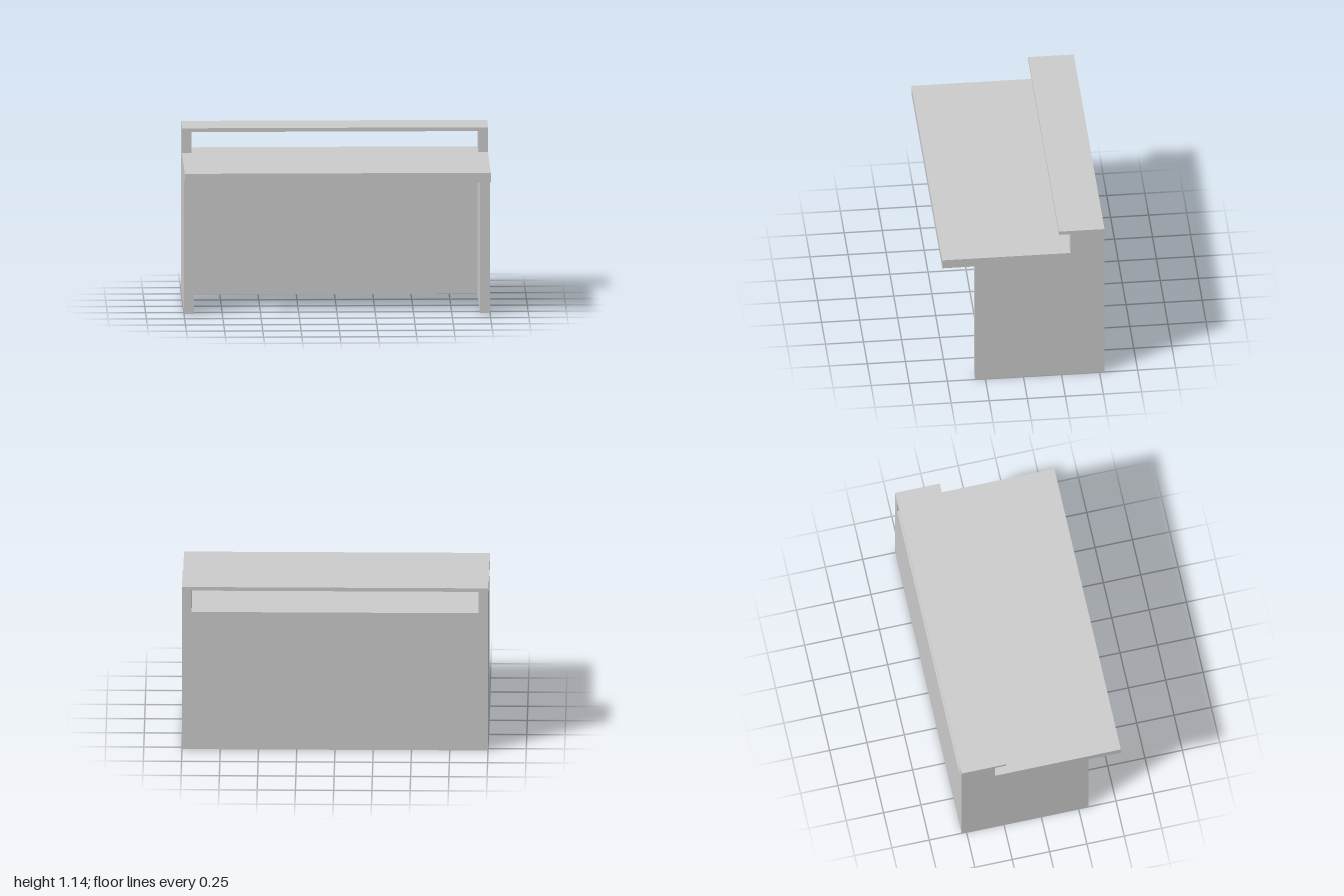
import * as THREE from 'three';

export function createModel() {
  const desk = new THREE.Group();
  desk.name = 'desk';
  const material = new THREE.MeshStandardMaterial({ color: 0xcccccc });

  // Box given by its lower and upper corners
  function board(name, [x0, y0, z0], [x1, y1, z1]) {
    const geometry = new THREE.BoxGeometry(x1 - x0, y1 - y0, z1 - z0);
    const mesh = new THREE.Mesh(geometry, material);
    mesh.position.set((x0 + x1) / 2, (y0 + y1) / 2, (z0 + z1) / 2);
    mesh.name = name;
    desk.add(mesh);
  }

  const back = -0.533, front = 0.533;
  const underTop = 0.902, topY = 0.965;    // worktop
  const underShelf = 1.115, shelfY = 1.14; // raised shelf
  const panel = 0.066, riser = 0.063;      // thicknesses

  board('worktop', [-1, underTop, back], [1, topY, front]);
  board('shelf', [-1, underShelf, back], [1, shelfY, -0.234]);
  board('backPanel', [-1 + panel, 0, back], [1 - panel, underTop, back + panel]);

  // Side panels and the short uprights carrying the shelf
  board('leftSidePanel', [1 - panel, 0, back], [1, underTop, 0.317]);
  board('rightSidePanel', [-1, 0, back], [-1 + panel, underTop, 0.317]);
  board('leftShelfSupport', [1 - riser, topY, back], [1, underShelf, -0.31]);
  board('rightShelfSupport', [-1, topY, back], [-1 + riser, underShelf, -0.31]);

  return desk;
}
